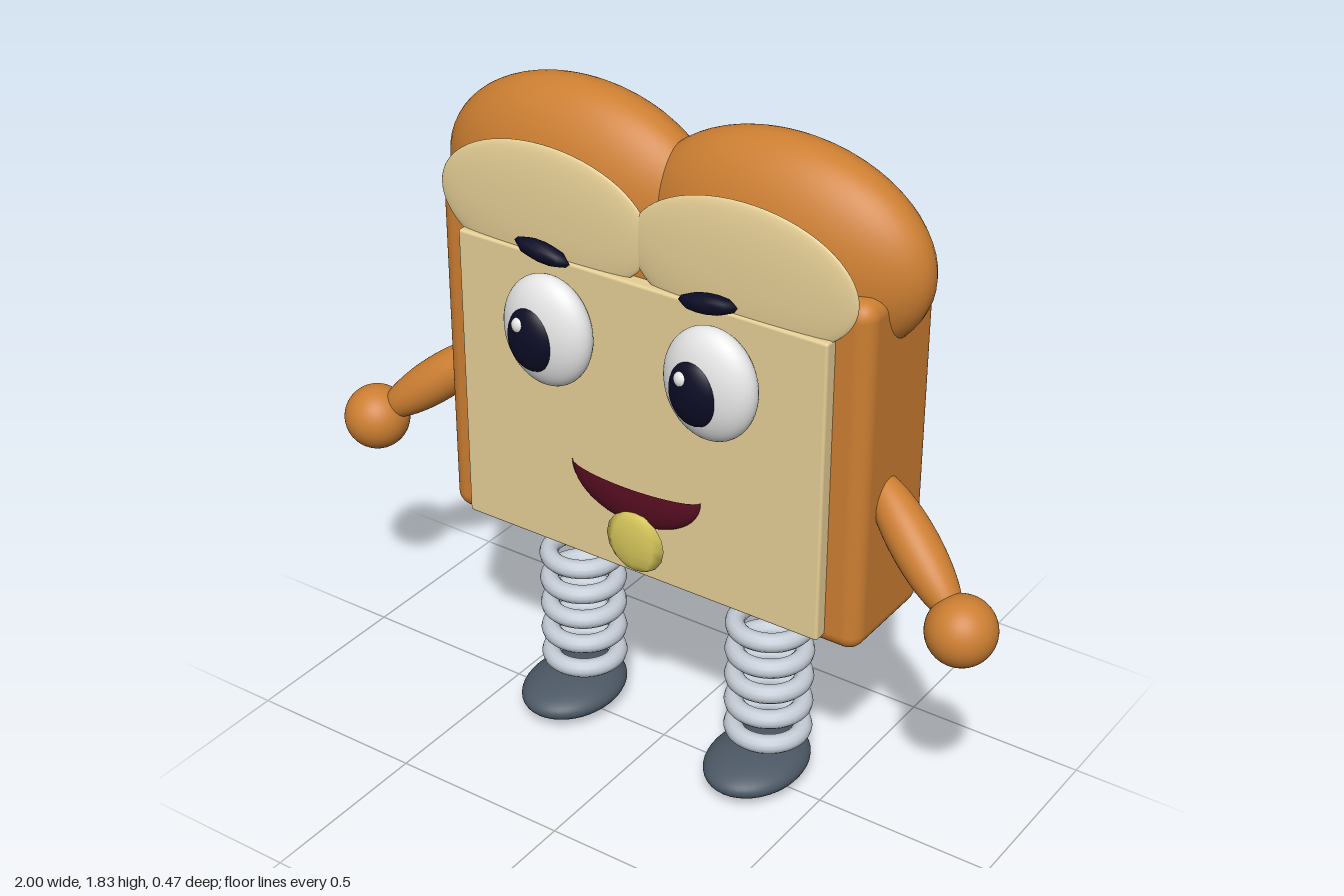
import * as THREE from 'three';
import { RoundedBoxGeometry } from 'three/addons/geometries/RoundedBoxGeometry.js';

const mat = (name, color, side = THREE.FrontSide) => {
  const m = new THREE.MeshStandardMaterial({ color, side });
  m.name = name;
  return m;
};

export function createModel() {
  const group = new THREE.Group();
  const crust = mat('crust', 0xcd7f32);
  const crumb = mat('crumb', 0xe6cf96);
  const white = mat('eyeWhite', 0xf5f5f5);
  const navy = mat('darkNavy', 0x0c0c26);
  const maroon = mat('mouthMaroon', 0x5c0f24, THREE.DoubleSide);
  const yellow = mat('tongueYellow', 0xd8c85c);
  const steel = mat('springSteel', 0xc4ccd6);
  const slate = mat('footSlate', 0x4c5865);

  const add = (name, geometry, material, x, y, z) => {
    const m = new THREE.Mesh(geometry, material);
    m.name = name;
    m.position.set(x, y, z);
    group.add(m);
    return m;
  };
  const ellipsoid = (name, material, [x, y, z], [rx, ry, rz], w = 40, h = 28) => {
    const g = new THREE.SphereGeometry(1, w, h).scale(rx, ry, rz);
    return add(name, g, material, x, y, z);
  };

  // Slice: crust block and flat crumb face
  add('body', new RoundedBoxGeometry(1.27, 0.965, 0.325, 5, 0.045), crust, 0, 1.048, -0.073);
  add('crumbFace', new RoundedBoxGeometry(1.09, 0.833, 0.045, 2, 0.008), crumb, 0, 1.016, 0.103);

  // Mouth: lower half of a flattened bowl, with a faceted tongue
  const bowl = new THREE.SphereGeometry(1, 32, 12, 0, Math.PI * 2, Math.PI / 2, Math.PI / 2);
  add('mouth', bowl.scale(0.2, 0.13, 0.05), maroon, 0, 0.88, 0.12);
  ellipsoid('tongue', yellow, [0.032, 0.733, 0.175], [0.088, 0.086, 0.02], 8, 8);

  for (const s of [-1, 1]) {
    const side = s > 0 ? 'left' : 'right';

    // Domed top
    ellipsoid(side + 'CrustDome', crust, [s * 0.3, 1.55, -0.076], [0.405, 0.28, 0.16], 48, 32);
    ellipsoid(side + 'CrumbDome', crumb, [s * 0.29, 1.536, 0.1], [0.32, 0.18, 0.022], 48, 32);

    // Eyes look slightly to one side, so pupils are shifted rather than mirrored
    const ex = s * 0.243;
    ellipsoid(side + 'Eye', white, [ex, 1.248, 0.155], [0.131, 0.152, 0.065]);
    ellipsoid(side + 'Pupil', navy, [ex - 0.016, 1.238, 0.2], [0.072, 0.089, 0.037]);
    ellipsoid(side + 'EyeGlint', white, [ex - 0.04, 1.278, 0.222], [0.021, 0.021, 0.016], 16, 12);
    const brow = ellipsoid(side + 'Brow', navy, [ex, 1.47, 0.172], [0.085, 0.026, 0.026], 8, 6);
    brow.rotation.z = s * 0.14;

    // Arm ellipsoid pointing from shoulder to hand
    const arm = ellipsoid(side + 'Arm', crust, [s * 0.735, 0.89, 0], [0.062, 0.215, 0.062]);
    arm.quaternion.setFromUnitVectors(
      new THREE.Vector3(0, 1, 0),
      new THREE.Vector3(-s * 0.29, 0.24, -0.11).normalize()
    );
    ellipsoid(side + 'Hand', crust, [s * 0.91, 0.745, 0.068], [0.09, 0.09, 0.09]);

    // Spring leg made of stacked rings, and foot
    for (let i = 0; i < 5; i++) {
      const ring = new THREE.TorusGeometry(0.093, 0.026, 12, 36).rotateX(Math.PI / 2);
      add(side + 'SpringRing' + (i + 1), ring, steel, s * 0.302, 0.14 + i * 0.081, -0.05);
    }
    ellipsoid(side + 'Foot', slate, [s * 0.302, 0.055, 0], [0.131, 0.053, 0.172]);
  }
  return group;
}
